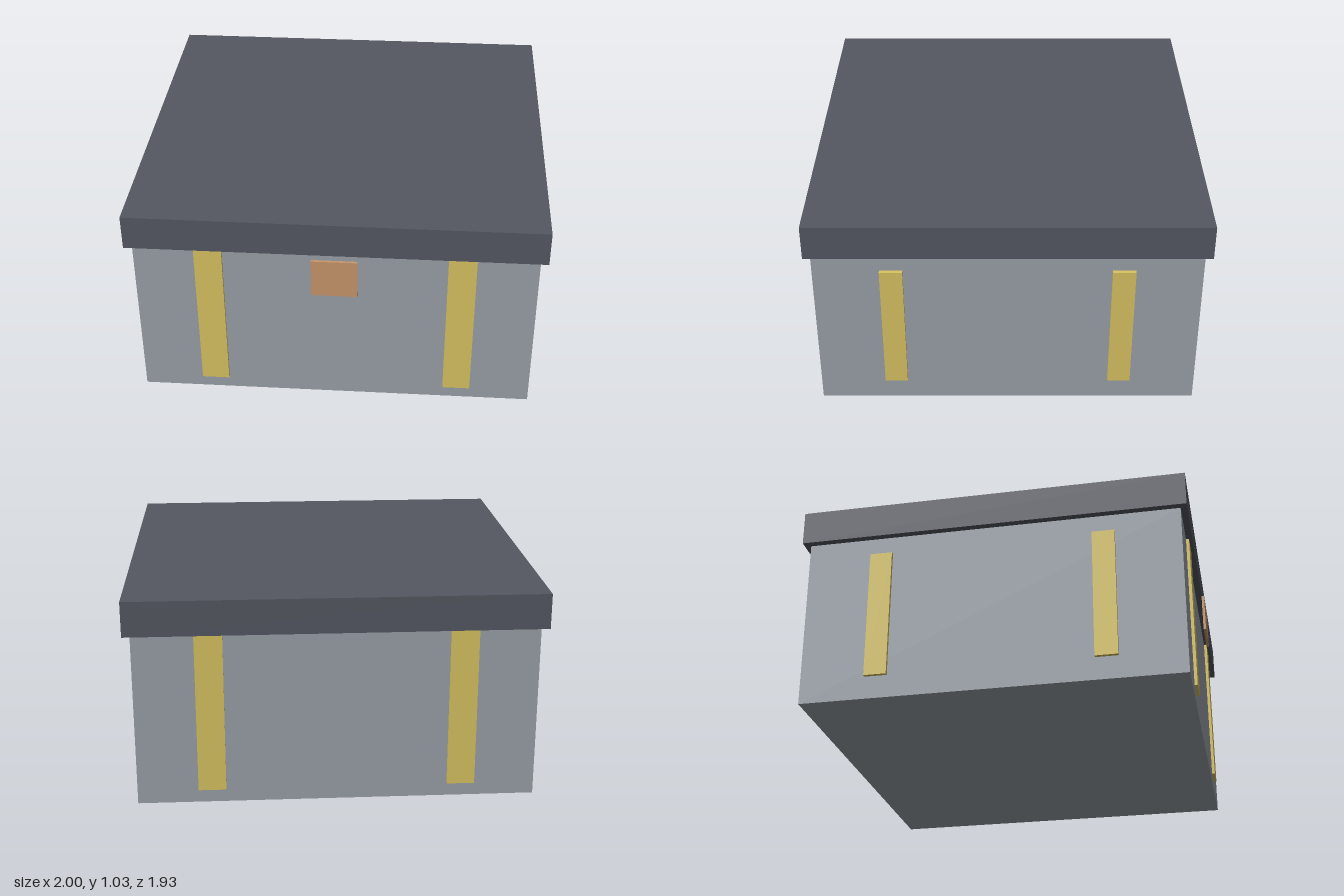
import * as THREE from 'three';

const material = (color) => new THREE.MeshStandardMaterial({ color });

export function createModel() {
  const group = new THREE.Group();
  const grey = material(0x9aa1a9);
  const dark = material(0x555862);
  const yellow = material(0xd9c462);
  const copper = material(0xc8976c);

  // Box given by its extents on each axis
  const addBox = (name, mat, [x0, x1], [y0, y1], [z0, z1]) => {
    const mesh = new THREE.Mesh(new THREE.BoxGeometry(x1 - x0, y1 - y0, z1 - z0), mat);
    mesh.position.set((x0 + x1) / 2, (y0 + y1) / 2, (z0 + z1) / 2);
    mesh.name = name;
    group.add(mesh);
  };

  // Main box and overhanging lid
  addBox('body', grey, [-0.965, 0.965], [0, 0.863], [-0.931, 0.917]);
  addBox('lid', dark, [-1, 1], [0.863, 1.035], [-0.963, 0.948]);

  // Tall straps on front and back, shorter ones on both sides
  for (const s of [-1, 1]) {
    const x = [s * 0.604 - 0.067, s * 0.604 + 0.067];
    addBox('frontStrap', yellow, x, [0.068, 0.863], [0.912, 0.932]);
    addBox('backStrap', yellow, x, [0.068, 0.863], [-0.946, -0.926]);

    const z = [s * 0.55 - 0.061, s * 0.55 + 0.049];
    addBox('leftStrap', yellow, [0.96, 0.983], [0.114, 0.77], z);
    addBox('rightStrap', yellow, [-0.983, -0.96], [0.114, 0.77], z);
  }

  // Latch plate standing off the front
  addBox('latchPlate', copper, [-0.11, 0.11], [0.64, 0.838], [0.95, 0.963]);

  return group;
}
